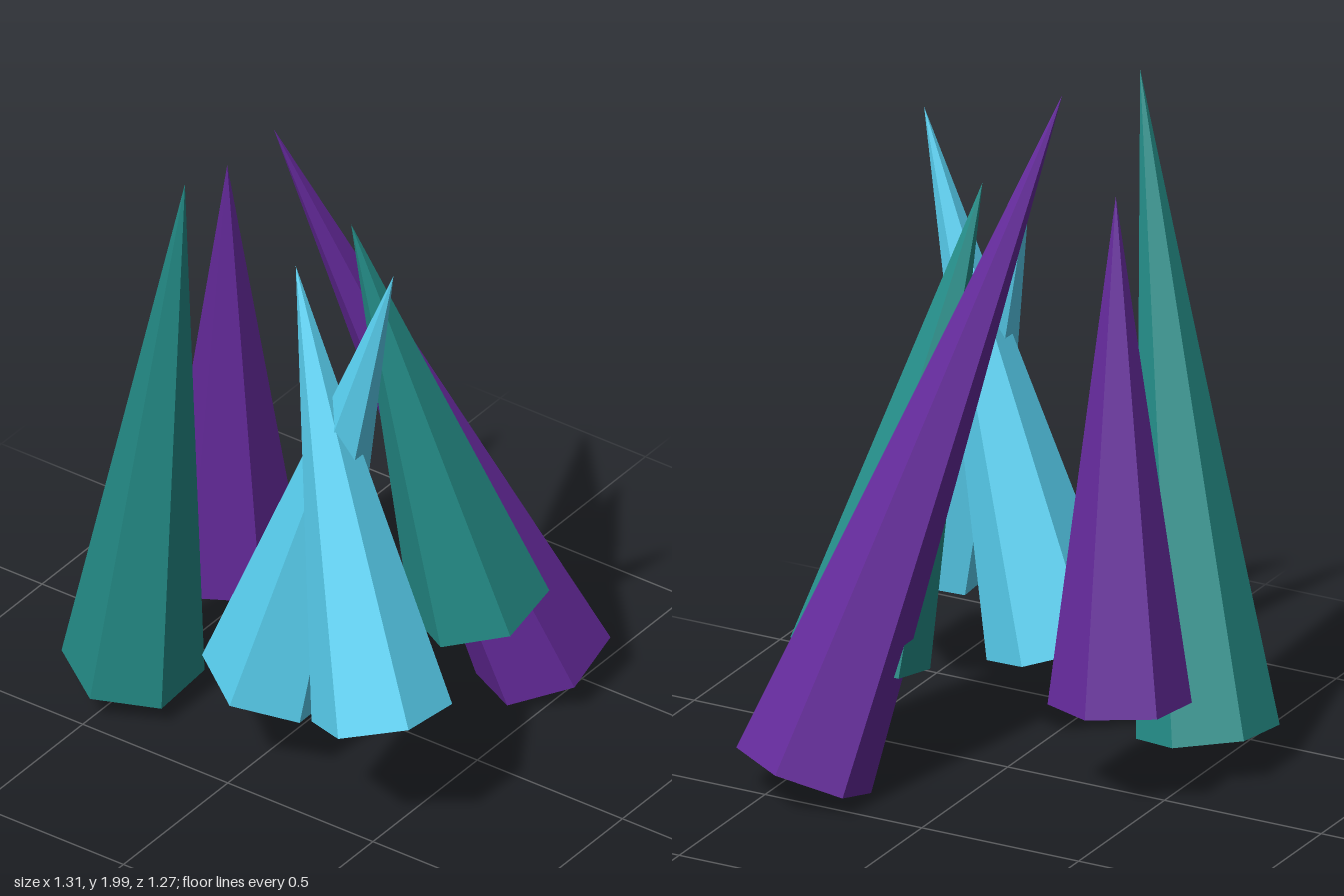
import * as THREE from 'three';

const PURPLE = 0x652a9c, TEAL = 0x258f8a, CYAN = 0x5ad3f4;

// name, color, base centre, apex
const SPIKES = [
  ['purpleSpikeRight', PURPLE, [-0.39, 0.3, -0.06], [-0.29, 1.76, 0.1]],
  ['purpleSpikeBack', PURPLE, [0.407, 0.078, -0.445], [-0.083, 2.0, 0.165]],
  ['tealSpikeRight', TEAL, [-0.485, 0.108, 0.28], [-0.15, 1.97, 0.497]],
  ['tealSpikeBack', TEAL, [0.35, 0.362, -0.22], [0.13, 1.72, 0.09]],
  ['cyanSpikeFront', CYAN, [0.005, 0.27, 0.295], [0.445, 1.8, 0.325]],
  ['cyanSpikeLeft', CYAN, [0.484, 0.4, 0.435], [0.09, 1.68, 0.3]],
];

// Leaning six-sided cone: a corner faces front, tilted about x and then z
function spike(name, color, base, apex) {
  const foot = new THREE.Vector3(...base);
  const axis = new THREE.Vector3(...apex).sub(foot);
  const height = axis.length();
  axis.normalize();

  const geometry = new THREE.ConeGeometry(0.202, height, 6);
  geometry.translate(0, height / 2, 0);
  const mesh = new THREE.Mesh(
    geometry,
    new THREE.MeshStandardMaterial({ color, flatShading: true }),
  );
  mesh.name = name;
  mesh.position.copy(foot);
  mesh.rotation.set(Math.asin(axis.z), 0, Math.atan2(-axis.x, axis.y), 'ZXY');
  return mesh;
}

export function createModel() {
  const group = new THREE.Group();
  group.name = 'crystalCluster';
  for (const s of SPIKES) group.add(spike(...s));
  return group;
}
